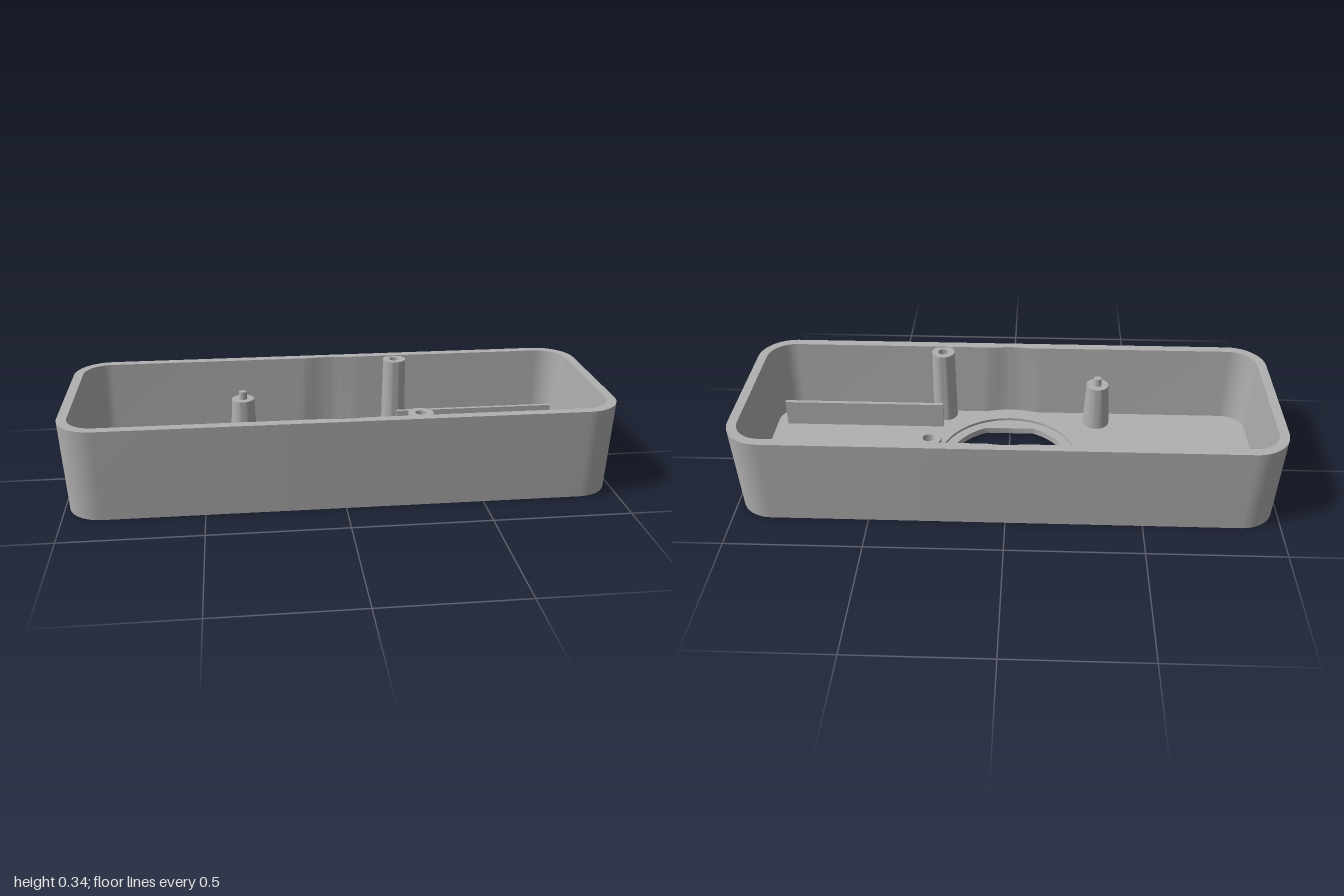
import * as THREE from 'three';
import { toCreasedNormals } from 'three/addons/utils/BufferGeometryUtils.js';

const HEIGHT = 0.338, FLOOR = 0.035, LEDGE = 0.025;
// screw posts and locating posts, as [x, z]
const SCREW = [[0.27, -0.295], [0.27, 0.295]];
const PINS = [[-0.35, -0.22], [-0.35, 0.26]];
const BORE = 0.027;

// rounded rectangle as a list of [x, z]; straight sides are subdivided
function outline(hx, hz, r, relief = 0) {
  const pts = [];
  const corners = [[1, 1], [-1, 1], [-1, -1], [1, -1]];
  corners.forEach(([sx, sz], c) => {
    for (let i = 0; i <= 12; i++) {
      const a = (c + i / 12) * Math.PI / 2;
      pts.push([sx * (hx - r) + r * Math.cos(a), sz * (hz - r) + r * Math.sin(a)]);
    }
    if (c % 2 === 0) {
      // long side, with a shallow round relief at the middle
      for (let i = 0; i <= 24; i++) {
        const x = sx * (0.12 - 0.01 * i);
        const arc = relief > Math.abs(x) ? Math.sqrt(relief * relief - x * x) : 0;
        pts.push([x, sz * Math.max(hz, arc)]);
      }
    }
  });
  return pts;
}

// skin between successive closed loops
function skin(loops) {
  const pos = [], idx = [], n = loops[0].pts.length;
  loops.forEach(({ pts, y }) => pts.forEach(([x, z]) => pos.push(x, y, z)));
  for (let l = 0; l < loops.length - 1; l++) {
    for (let i = 0; i < n; i++) {
      const a = l * n + i, b = l * n + (i + 1) % n;
      idx.push(a, a + n, b, b, a + n, b + n);
    }
  }
  const g = new THREE.BufferGeometry();
  g.setAttribute('position', new THREE.Float32BufferAttribute(pos, 3));
  g.setIndex(idx);
  return toCreasedNormals(g, 0.5);
}

function circle(x, z, r) {
  return new THREE.Path().absarc(x, -z, r, 0, Math.PI * 2, true);
}

// round opening with two flats
function flattedHole(r, flat) {
  const a = Math.asin(flat / r), pts = [];
  for (const start of [-a, Math.PI - a]) {
    for (let i = 0; i <= 24; i++) {
      const t = start + 2 * a * i / 24;
      pts.push(new THREE.Vector2(r * Math.cos(t), r * Math.sin(t)));
    }
  }
  return new THREE.Path(pts.reverse());
}

function floorLayer(y0, y1, opening) {
  const pts = outline(0.985, 0.352, 0.125).map(([x, z]) => new THREE.Vector2(x, z));
  const shape = new THREE.Shape(pts);
  shape.holes.push(opening);
  for (const [x, z] of [...SCREW, ...PINS]) shape.holes.push(circle(x, z, BORE));
  const g = new THREE.ExtrudeGeometry(shape, { depth: y1 - y0, bevelEnabled: false, curveSegments: 32 });
  g.rotateX(-Math.PI / 2).translate(0, y0, 0);
  return toCreasedNormals(g, 0.5);
}

function turned(profile) {
  const pts = profile.map(([r, y]) => new THREE.Vector2(r, y));
  return toCreasedNormals(new THREE.LatheGeometry(pts, 32), 0.5);
}

export function createModel() {
  const model = new THREE.Group();
  const grey = new THREE.MeshStandardMaterial({ color: 0xb0b0b0 });
  grey.name = 'grey plastic';
  const add = (name, geometry, x = 0, y = 0, z = 0) => {
    const mesh = new THREE.Mesh(geometry, grey);
    mesh.name = name;
    mesh.position.set(x, y, z);
    model.add(mesh);
  };

  // tapered walls: outside up, over the rim, inside down
  add('walls', skin([
    { pts: outline(0.985, 0.352, 0.125), y: 0 },
    { pts: outline(1, 0.363, 0.135), y: HEIGHT },
    { pts: outline(0.965, 0.328, 0.1, 0.334), y: HEIGHT },
    { pts: outline(0.955, 0.318, 0.09, 0.334), y: FLOOR - 0.005 },
  ]));

  // floor with a flatted opening and a round ledge above it
  add('lowerFloor', floorLayer(0, LEDGE, flattedHole(0.232, 0.212)));
  add('upperFloor', floorLayer(LEDGE, FLOOR, circle(0, 0, 0.27)));

  // tall screw posts, bored from both ends
  const screwPost = turned([
    [0, 0.12], [BORE, 0.12], [BORE, 0], [0.049, 0.03],
    [0.045, 0.334], [0.02, 0.334], [0.02, 0.24], [0, 0.24],
  ]);
  for (const [x, z] of SCREW) add('screwPost', screwPost, x, 0, z);

  // tapered posts with a small pin on top
  const pinPost = turned([
    [0, 0.12], [BORE, 0.12], [BORE, 0], [0.054, 0.03],
    [0.044, 0.215], [0.017, 0.215], [0.015, 0.245], [0, 0.245],
  ]);
  for (const [x, z] of PINS) add('pinPost', pinPost, x, 0, z);

  // thin guide rails
  const rail = new THREE.BoxGeometry(0.64, 0.115, 0.015);
  for (const z of [-0.213, 0.208]) add('guideRail', rail, 0.592, 0.0825, z);

  // low standoffs with blind holes
  const standoff = turned([[0.043, 0.03], [0.043, 0.085], [0.014, 0.085], [0.014, 0.04], [0, 0.04]]);
  for (const x of [0.667, 0.873]) add('standoff', standoff, x, 0, -0.083);

  return model;
}
